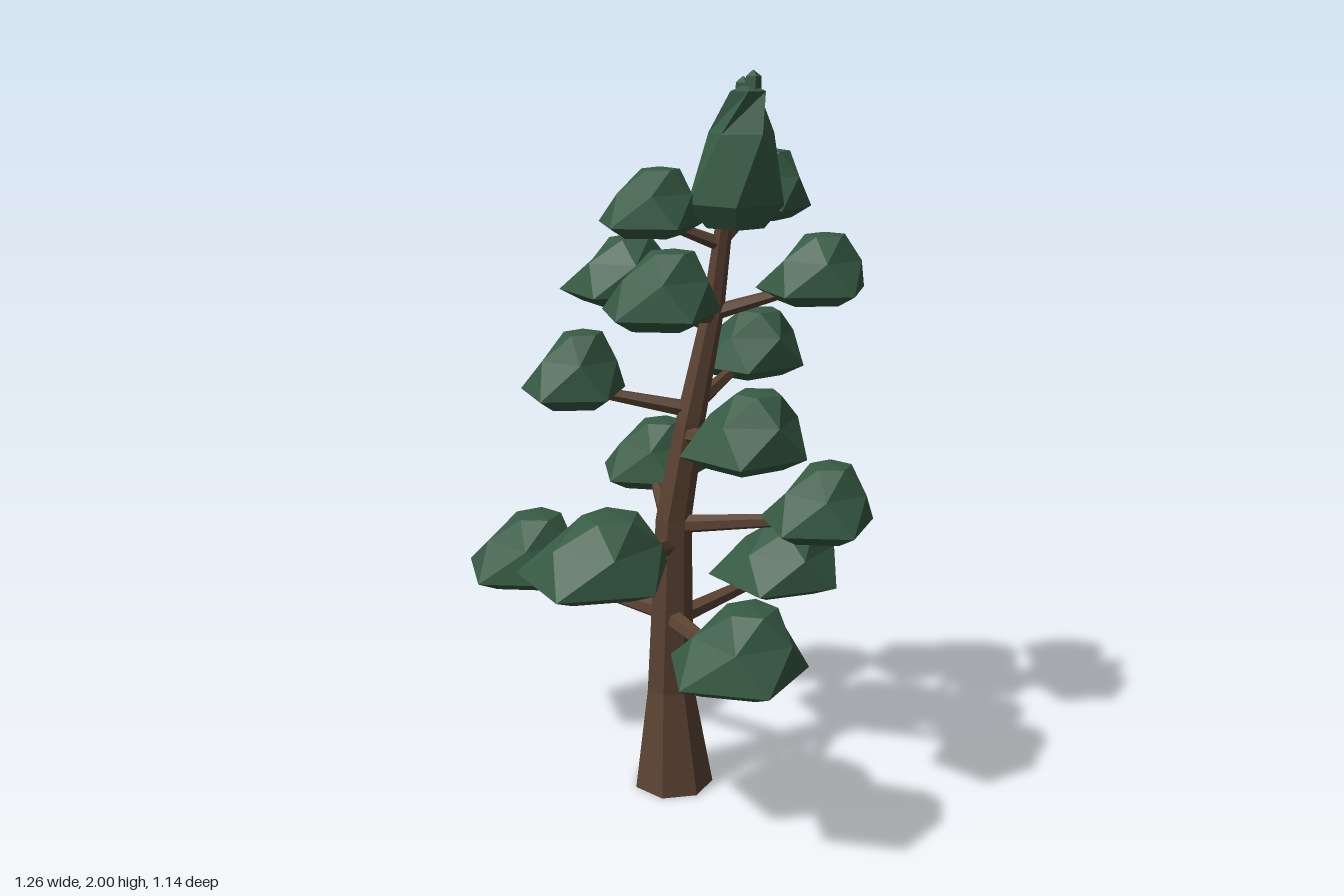
import * as THREE from 'three';

const bark = new THREE.MeshStandardMaterial({ color: 0x5c4333 });
bark.name = 'bark brown';
const needles = new THREE.MeshStandardMaterial({ color: 0x375b44 });
needles.name = 'needle green';
const DEG = Math.PI / 180;

// Faceted skin over rings given as [x, y, z, radius, angle]; radius 0 closes an end
function loft(rings, sides) {
  const point = ([x, y, z, r, angle = 0], i) => {
    const a = angle * DEG + ((i % sides) / sides) * Math.PI * 2;
    return [x + r * Math.cos(a), y, z + r * Math.sin(a)];
  };
  const pos = [];
  for (let k = 0; k < rings.length - 1; k++) {
    const low = rings[k], high = rings[k + 1];
    for (let i = 0; i < sides; i++) {
      if (low[3] > 0) pos.push(...point(low, i), ...point(high, i), ...point(low, i + 1));
      if (high[3] > 0) pos.push(...point(low, i + 1), ...point(high, i), ...point(high, i + 1));
    }
  }
  const geometry = new THREE.BufferGeometry();
  geometry.setAttribute('position', new THREE.Float32BufferAttribute(pos, 3));
  geometry.computeVertexNormals();
  return geometry;
}

function part(name, geometry, material) {
  const mesh = new THREE.Mesh(geometry, material);
  mesh.name = name;
  return mesh;
}

// Curved trunk: [x, y, z, radius]
const trunk = [
  [-0.025, 0, -0.005, 0.115], [-0.027, 0.3, 0.004, 0.068], [0.01, 0.82, 0.02, 0.051],
  [0.058, 1.1, 0, 0.041], [0.1, 1.4, -0.042, 0.03], [0.15, 1.72, -0.05, 0.02],
];

// Centre of the trunk at a height
function trunkAt(y) {
  const k = Math.max(1, trunk.findIndex((p) => p[1] >= y));
  const a = trunk[k - 1], b = trunk[k];
  const t = (y - a[1]) / (b[1] - a[1]);
  return new THREE.Vector3(a[0] + (b[0] - a[0]) * t, y, a[2] + (b[2] - a[2]) * t);
}

// Five-sided foliage pad, its crown leaning to one side
function padGeometry(x, z, radius, angle, bottom, top) {
  const h = top - bottom;
  const ring = (t, r, lean, twist) =>
    [x + radius * lean, bottom + h * t, z - radius * lean * 0.8, radius * r, angle + twist];
  return loft([
    ring(0, 0, 0, 0), ring(0, 0.62, 0, 0), ring(0.17, 1, 0, 0),
    ring(0.62, 0.7, 0.1, 36), ring(0.96, 0.36, 0.16, 72), ring(1, 0, 0.16, 72),
  ], 5);
}

function branchGeometry(from, to, thick) {
  const dir = to.clone().sub(from);
  const geometry = new THREE.CylinderGeometry(thick * 0.55, thick, dir.length(), 6).toNonIndexed();
  geometry.computeVertexNormals();
  geometry.applyQuaternion(
    new THREE.Quaternion().setFromUnitVectors(new THREE.Vector3(0, 1, 0), dir.normalize()));
  const mid = from.clone().add(to).multiplyScalar(0.5);
  return geometry.translate(mid.x, mid.y, mid.z);
}

// Boughs: x, z, pad radius, pad angle, pad bottom, pad top, branch height on trunk
const boughs = [
  [-0.46, 0.21, 0.19, 5, 0.54, 0.75, 0.53],
  [0.46, 0.16, 0.185, 13, 0.54, 0.75, 0.52],
  [0, -0.365, 0.2, -18, 0.53, 0.73, 0.51],
  [-0.37, -0.18, 0.165, 11, 0.79, 0.99, 0.77],
  [0.37, -0.18, 0.155, 5, 0.83, 1.03, 0.8],
  [0.215, 0.405, 0.2, -11, 0.77, 0.97, 0.74],
  [0.41, 0.1, 0.16, 42, 1.08, 1.27, 1.06],
  [-0.11, 0.255, 0.145, -4, 1.15, 1.35, 1.13],
  [-0.09, -0.315, 0.165, 38, 1.16, 1.35, 1.14],
  [-0.19, 0.05, 0.165, -13, 1.39, 1.57, 1.36],
  [0.25, -0.25, 0.15, -3, 1.42, 1.6, 1.39],
  [0.2, 0.2, 0.155, 6, 1.4, 1.59, 1.38],
  [0.07, -0.22, 0.135, 15, 1.62, 1.8, 1.58],
  [0.06, 0.13, 0.14, 6, 1.6, 1.77, 1.57],
];

export function createModel() {
  const tree = new THREE.Group();
  tree.name = 'pineTree';

  const base = [...trunk[0]], tip = [...trunk[trunk.length - 1]];
  base[3] = tip[3] = 0;
  tree.add(part('trunk', loft([base, ...trunk, tip], 7), bark));

  boughs.forEach(([x, z, r, angle, bottom, top, y], i) => {
    const bough = new THREE.Group();
    bough.name = `bough${i + 1}`;
    const end = new THREE.Vector3(x, bottom + 0.045, z);
    bough.add(
      part('branch', branchGeometry(trunkAt(y), end, 0.034 - y * 0.009), bark),
      part('foliagePad', padGeometry(x, z, r, angle, bottom, top), needles));
    tree.add(bough);
  });

  // Tall pointed crown with small shoots at its tip
  tree.add(part('crown', loft([
    [0.185, 1.62, -0.045, 0, 38], [0.185, 1.62, -0.045, 0.075, 38], [0.185, 1.68, -0.045, 0.125, 38],
    [0.205, 1.85, -0.045, 0.085, 74], [0.222, 1.95, -0.05, 0.045, 38], [0.225, 1.97, -0.05, 0, 38],
  ], 5), needles));
  for (const [x, z, top] of [[0.233, -0.056, 2], [0.208, -0.045, 1.985]]) {
    tree.add(part('crownShoot', loft([
      [x - 0.01, 1.85, z, 0.03, 20], [x, top - 0.015, z, 0.02, 20], [x, top, z, 0, 20],
    ], 5), needles));
  }
  return tree;
}
